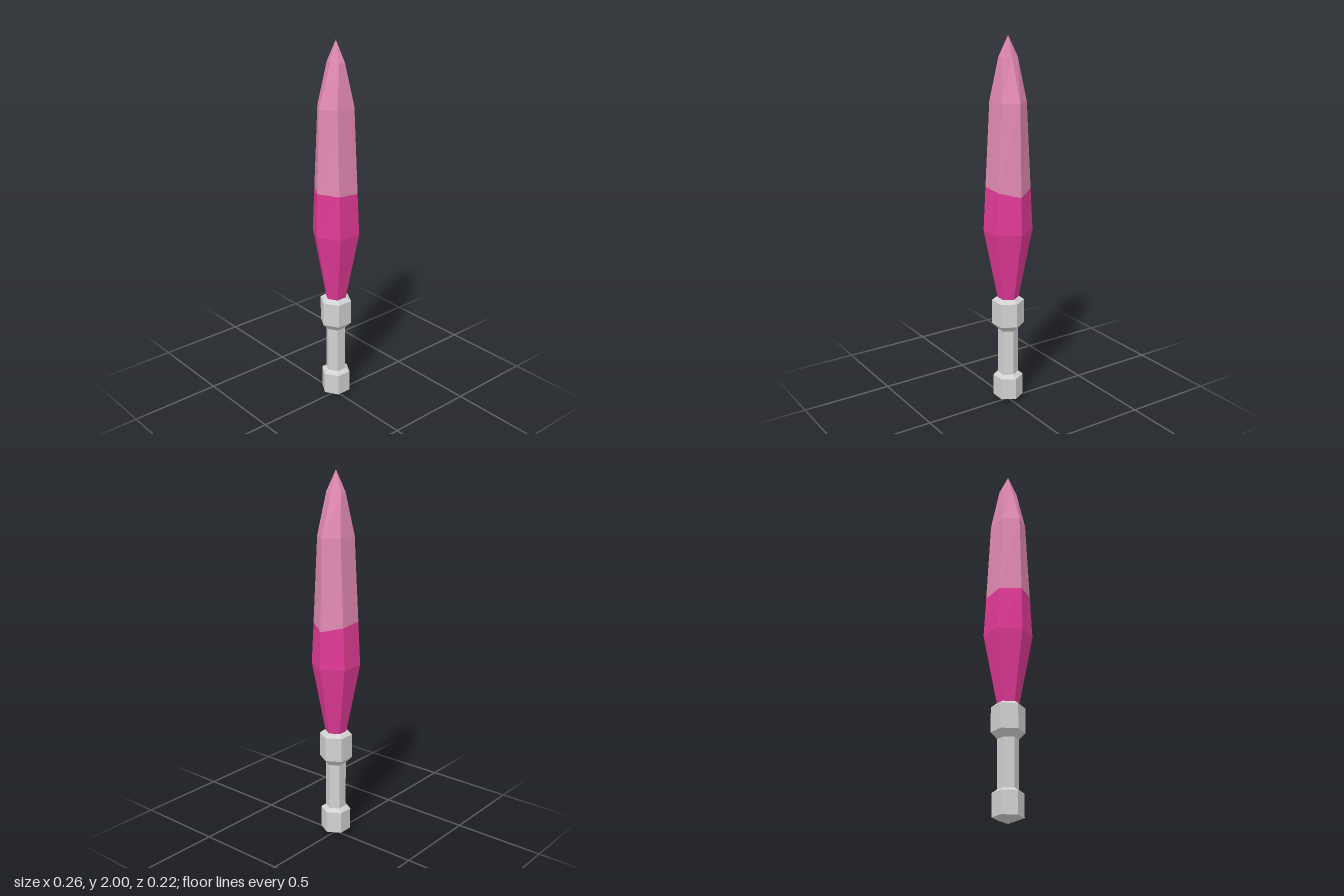
import * as THREE from 'three';

// Six-sided ring: side points at +-rx, front and back corners at (+-cx, +-rz).
// y may be a number or one height per corner.
function ring(y, rx, cx = rx / 2, rz = rx * 0.866) {
  const flat = [[rx, 0], [cx, rz], [-cx, rz], [-rx, 0], [-cx, -rz], [cx, -rz]];
  return flat.map(([x, z], i) => new THREE.Vector3(x, Array.isArray(y) ? y[i] : y, z));
}

// Faceted skin through rings listed from bottom to top.
function loft(rings) {
  const points = [];
  const add = (a, b, c) => {
    if (a.distanceTo(b) > 1e-6 && b.distanceTo(c) > 1e-6 && c.distanceTo(a) > 1e-6) points.push(a, b, c);
  };
  for (let r = 0; r < rings.length - 1; r++) {
    for (let i = 0; i < 6; i++) {
      const j = (i + 1) % 6;
      add(rings[r][i], rings[r + 1][i], rings[r][j]);
      add(rings[r][j], rings[r + 1][i], rings[r + 1][j]);
    }
  }
  const geometry = new THREE.BufferGeometry().setFromPoints(points);
  geometry.computeVertexNormals();
  return geometry;
}

export function createModel() {
  const group = new THREE.Group();
  const material = (name, color) => {
    const m = new THREE.MeshStandardMaterial({ color, flatShading: true });
    m.name = name;
    return m;
  };
  const grey = material('light grey', 0xd2d2d2);
  const magenta = material('magenta', 0xe23a96);
  const pink = material('pale pink', 0xe28ab2);
  const part = (name, mat, rings) => {
    const mesh = new THREE.Mesh(loft(rings), mat);
    mesh.name = name;
    group.add(mesh);
  };

  // Handle: pointed pommel, slim grip, bevelled collar
  part('pommel', grey, [ring(0, 0), ring(0.03, 0.081), ring(0.15, 0.081), ring(0.167, 0.055)]);
  part('grip', grey, [ring(0.167, 0.055), ring(0.425, 0.055)]);
  part('collar', grey, [ring(0.425, 0.055), ring(0.46, 0.088), ring(0.593, 0.088), ring(0.61, 0.065), ring(0.61, 0)]);

  // Blade: the two colours meet along a slightly uneven line
  const seam = ring([1.19, 1.215, 1.225, 1.23, 1.225, 1.215], 0.124, 0.062, 0.1);
  part('lowerBlade', magenta, [ring(0.6, 0.055), ring(0.99, 0.13, 0.065, 0.112), seam]);
  part('upperBlade', pink, [
    seam,
    ring(1.67, 0.11, 0.056, 0.077),
    ring(1.89, 0.037, 0.019, 0.047),
    ring(2, 0),
  ]);
  return group;
}
